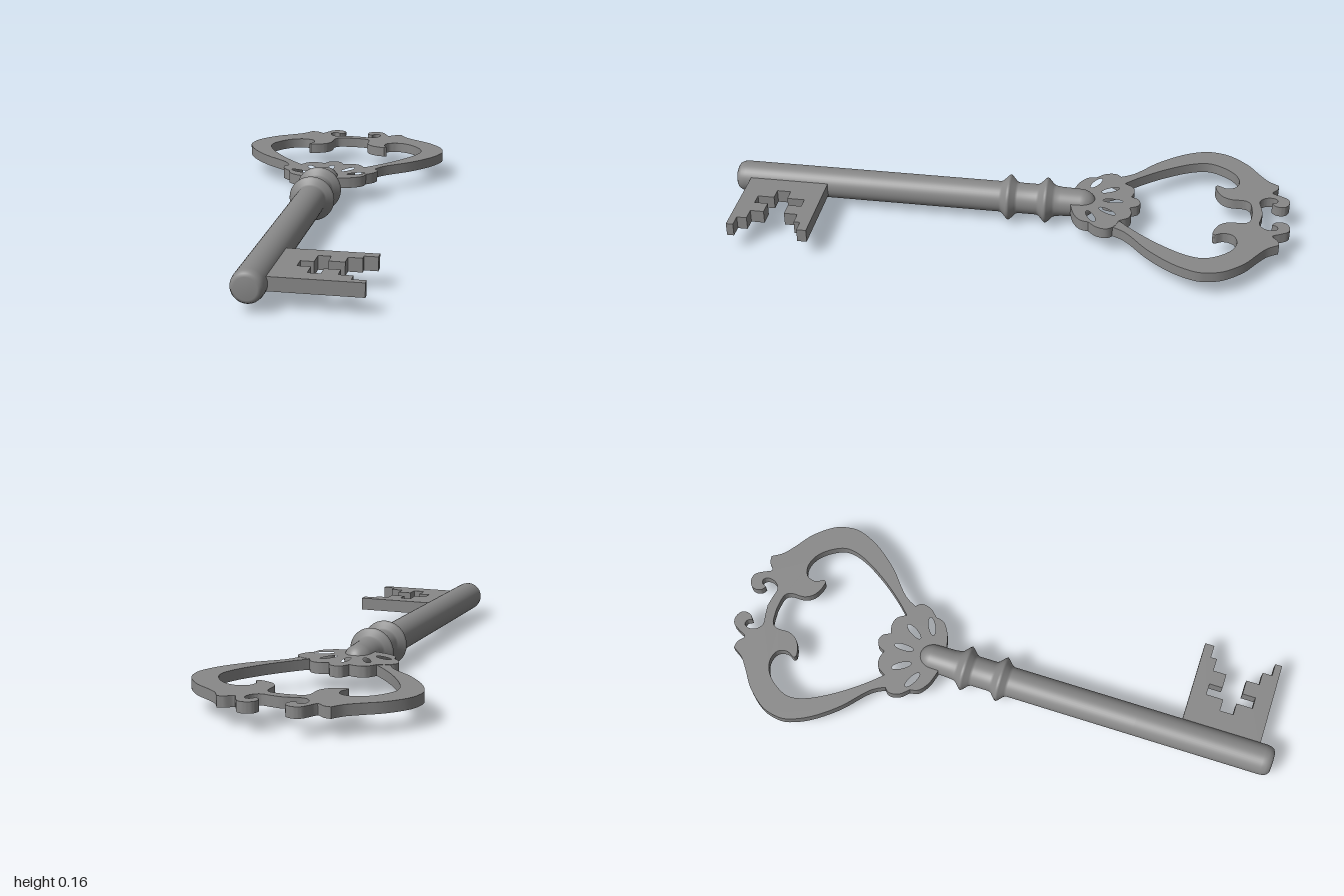
import * as THREE from 'three';
import { toCreasedNormals } from 'three/addons/utils/BufferGeometryUtils.js';

const AXIS_Y = 0.082;
const material = new THREE.MeshStandardMaterial({ color: 0x888888 });
const V = (x, z) => new THREE.Vector2(x, -z);

// Smooth curves joined at sharp corners; each run is a list of [x, z] points
function smoothRuns(runs, steps = 5) {
  const out = [];
  for (const run of runs) {
    const curve = new THREE.SplineCurve(run.map(([x, z]) => V(x, z)));
    out.push(...curve.getPoints((run.length - 1) * steps).slice(out.length ? 1 : 0));
  }
  return out;
}

const mirrored = (points) => points.map((p) => new THREE.Vector2(-p.x, p.y)).reverse();

// Flat plate lying in the x-z plane, centred on the key's axis height
function plate(name, shape, thickness) {
  let geo = new THREE.ExtrudeGeometry(shape, { depth: thickness, bevelEnabled: false, curveSegments: 8 });
  geo.rotateX(-Math.PI / 2);
  geo.translate(0, AXIS_Y - thickness / 2, 0);
  geo = toCreasedNormals(geo, 0.6);
  const mesh = new THREE.Mesh(geo, material);
  mesh.name = name;
  return mesh;
}

function makeShaft() {
  // Radius and z along the shaft: domed tail, two collars, long stem, rounded tip
  const profile = [];
  for (let i = 0; i <= 8; i++) {
    const a = (i / 8) * Math.PI / 2;
    profile.push([0.05 * Math.sin(a), -0.26 - 0.055 * Math.cos(a)]);
  }
  profile.push([0.052, -0.19]);
  for (const z of [-0.137, -0.003]) {
    profile.push([0.055, z - 0.033], [0.059, z - 0.024], [0.077, z - 0.007], [0.082, z],
      [0.077, z + 0.007], [0.059, z + 0.024], [0.055, z + 0.033]);
  }
  profile.push([0.055, 0.5], [0.055, 0.965], [0.053, 0.982], [0.047, 0.994], [0.037, 1], [0, 1]);
  const geo = new THREE.LatheGeometry(profile.map(([r, z]) => new THREE.Vector2(r, z)), 48);
  geo.rotateX(Math.PI / 2);
  geo.translate(0, AXIS_Y, 0);
  const mesh = new THREE.Mesh(geo, material);
  mesh.name = 'shaft';
  return mesh;
}

function makeBow() {
  // Right outer edge: flank, pointed shoulder, scrolled horn, top bridge
  const outer = smoothRuns([
    [[0.15, -0.35], [0.19, -0.432], [0.282, -0.515], [0.35, -0.6], [0.385, -0.675], [0.388, -0.725],
      [0.37, -0.782], [0.317, -0.846], [0.255, -0.89], [0.215, -0.922], [0.19, -0.96]],
    [[0.19, -0.96], [0.165, -0.956], [0.138, -0.938], [0.122, -0.965], [0.105, -0.991], [0.08, -0.998],
      [0.055, -0.987], [0.047, -0.967], [0.053, -0.947], [0.068, -0.936]],
    [[0.068, -0.936], [0.077, -0.952], [0.093, -0.955], [0.103, -0.94], [0.101, -0.918],
      [0.088, -0.9], [0.068, -0.892], [0.035, -0.898], [0, -0.903]],
  ]);
  // Right inner edge: bridge, drooping leaf, inside of the heart
  const inner = smoothRuns([
    [[0, -0.867], [0.048, -0.862], [0.067, -0.85], [0.073, -0.83], [0.074, -0.788], [0.092, -0.757],
      [0.122, -0.74], [0.15, -0.733]],
    [[0.15, -0.733], [0.159, -0.742], [0.145, -0.772], [0.157, -0.806], [0.198, -0.818], [0.245, -0.8],
      [0.285, -0.755], [0.305, -0.7], [0.287, -0.63], [0.234, -0.54], [0.172, -0.46], [0.115, -0.4]],
  ]);
  const outline = [...outer, ...mirrored(outer).slice(1), ...mirrored(inner), ...inner.slice(1)];
  return plate('bow', new THREE.Shape(outline), 0.037);
}

function makeShell() {
  // Scalloped fan between the shaft and the bow
  const half = smoothRuns([
    [[0, -0.473], [0.022, -0.464], [0.036, -0.438]],
    [[0.036, -0.438], [0.068, -0.446], [0.1, -0.438], [0.122, -0.406]],
    [[0.122, -0.406], [0.153, -0.397], [0.18, -0.37], [0.174, -0.332], [0.147, -0.302]],
    [[0.147, -0.302], [0.138, -0.27], [0.1, -0.243], [0.045, -0.227]],
  ]);
  const shape = new THREE.Shape([...half, ...mirrored(half).slice(0, -1)]);
  // Radiating petal openings: angle, distance along the fan, half length, half width
  const slots = [[0, 0.125, 0.036, 0.011], [0.56, 0.13, 0.036, 0.012], [-0.56, 0.13, 0.036, 0.012],
    [1.1, 0.122, 0.036, 0.012], [-1.1, 0.122, 0.036, 0.012]];
  for (const [angle, dist, length, width] of slots) {
    const hole = new THREE.Path();
    hole.absellipse(dist * Math.sin(angle), 0.25 + dist * Math.cos(angle),
      width, length, 0, Math.PI * 2, true, -angle);
    shape.holes.push(hole);
  }
  return plate('shell', shape, 0.039);
}

function makeBit() {
  // Stepped teeth on one side of the tip
  const outline = [[0.03, 0.656], [0.352, 0.656], [0.352, 0.69], [0.306, 0.69], [0.306, 0.712],
    [0.259, 0.712], [0.259, 0.76], [0.206, 0.76], [0.206, 0.712], [0.164, 0.712], [0.164, 0.774],
    [0.12, 0.774], [0.12, 0.823], [0.164, 0.823], [0.164, 0.882], [0.206, 0.882], [0.206, 0.834],
    [0.259, 0.834], [0.259, 0.882], [0.306, 0.882], [0.306, 0.917], [0.352, 0.917], [0.352, 0.942],
    [0.03, 0.942]];
  return plate('bit', new THREE.Shape(outline.map(([x, z]) => V(x, z))), 0.047);
}

export function createModel() {
  const key = new THREE.Group();
  key.name = 'key';
  key.add(makeShaft(), makeBow(), makeShell(), makeBit());
  return key;
}
